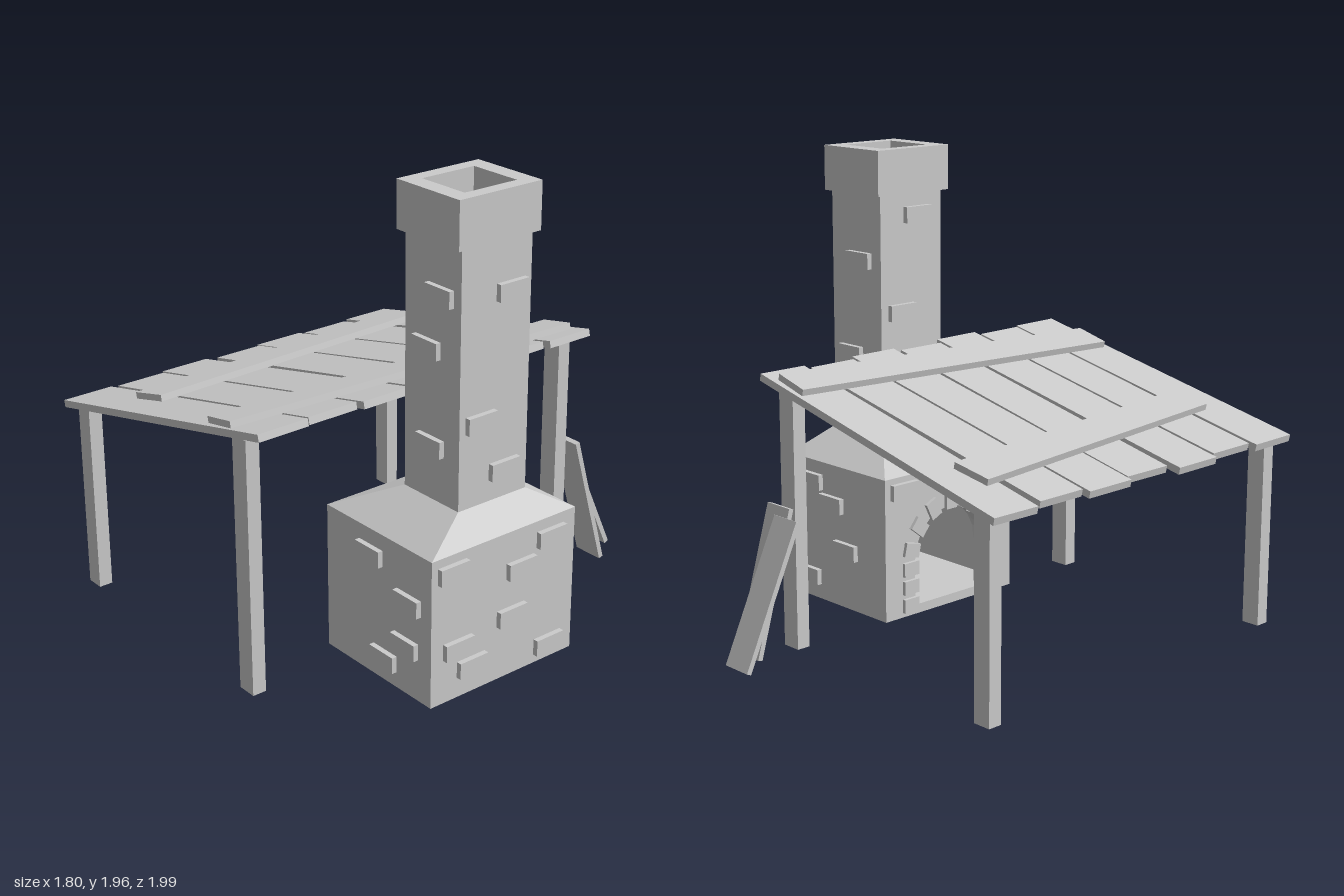
import * as THREE from 'three';

const mat = new THREE.MeshStandardMaterial({ color: 0xcccccc, flatShading: true });

function add(parent, name, geo, x = 0, y = 0, z = 0) {
  const m = new THREE.Mesh(geo, mat);
  m.name = name;
  m.position.set(x, y, z);
  parent.add(m);
  return m;
}

// Box given by its min and max corners
function span(parent, name, x0, x1, y0, y1, z0, z1) {
  return add(parent, name, new THREE.BoxGeometry(x1 - x0, y1 - y0, z1 - z0),
    (x0 + x1) / 2, (y0 + y1) / 2, (z0 + z1) / 2);
}

function rect(shape, w, h) {
  shape.moveTo(-w / 2, -h / 2);
  shape.lineTo(w / 2, -h / 2);
  shape.lineTo(w / 2, h / 2);
  shape.lineTo(-w / 2, h / 2);
  shape.closePath();
  return shape;
}

// Upright rectangular tube
function squareTube(w, d, iw, id, height) {
  const s = rect(new THREE.Shape(), w, d);
  s.holes.push(rect(new THREE.Path(), iw, id));
  return new THREE.ExtrudeGeometry(s, { depth: height, bevelEnabled: false }).rotateX(-Math.PI / 2);
}

function buildFurnace() {
  const g = new THREE.Group();
  g.name = 'furnace';
  const x0 = 0.25, x1 = 0.875, y0 = 0.01, y1 = 0.63, z0 = -0.22, z1 = 0.51, t = 0.06;
  const cx = 0.635, cz = 0.145;

  // Hollow firebox
  span(g, 'hearthFloor', x0 + t, x1, y0, y0 + 0.04, z0, z1);
  span(g, 'backWall', x1 - t, x1, y0, y1, z0, z1);
  span(g, 'sideWall', x0 + t, x1 - t, y0, y1, z0, z0 + t);
  span(g, 'sideWall', x0 + t, x1 - t, y0, y1, z1 - t, z1);

  // Wall with the arched mouth, facing the shelter
  const r = 0.2, spring = 0.25;
  const wall = new THREE.Shape();
  wall.moveTo(z0, y0);
  wall.lineTo(z1, y0);
  wall.lineTo(z1, y1);
  wall.lineTo(z0, y1);
  wall.closePath();
  const mouth = new THREE.Path();
  mouth.moveTo(cz - r, y0 + 0.04);
  mouth.lineTo(cz + r, y0 + 0.04);
  mouth.lineTo(cz + r, spring);
  mouth.absarc(cz, spring, r, 0, Math.PI, false);
  mouth.closePath();
  wall.holes.push(mouth);
  add(g, 'mouthWall', new THREE.ExtrudeGeometry(wall, { depth: t, bevelEnabled: false, curveSegments: 5 })
    .rotateY(-Math.PI / 2), x0 + t);

  // Bricks framing the mouth
  for (let i = 0; i < 7; i++) {
    const a = Math.PI * (i + 0.5) / 7;
    add(g, 'archBrick', new THREE.BoxGeometry(0.05, 0.06, 0.08),
      x0 + 0.01, spring + Math.sin(a) * (r + 0.03), cz + Math.cos(a) * (r + 0.03)).rotation.x = -a;
  }
  for (const side of [-1, 1])
    for (const y of [0.06, 0.14, 0.22])
      add(g, 'jambBrick', new THREE.BoxGeometry(0.05, 0.06, 0.08), x0 + 0.01, y, cz + side * (r + 0.03));

  // Sloping hood: a box whose top corners are drawn in to the chimney
  const hood = new THREE.BoxGeometry(x1 - x0, 0.11, z1 - z0);
  const p = hood.attributes.position;
  for (let i = 0; i < p.count; i++)
    if (p.getY(i) > 0) {
      p.setX(i, Math.sign(p.getX(i)) * 0.155 + cx - (x0 + x1) / 2);
      p.setZ(i, Math.sign(p.getZ(i)) * 0.17 + cz - 0.145 - 0.005);
    }
  hood.computeVertexNormals();
  add(g, 'hood', hood, (x0 + x1) / 2, 0.685, cz);

  // Chimney and its cap
  add(g, 'chimney', squareTube(0.31, 0.34, 0.23, 0.25, 1.05), cx, 0.73, 0.14);
  add(g, 'chimneyCap', squareTube(0.345, 0.395, 0.23, 0.25, 0.19), cx, 1.77, 0.1425);

  // Raised bricks: [position along the face, height]
  const faces = [
    ['z', z1, [[0.52, 0.53], [0.745, 0.41], [0.73, 0.22], [0.605, 0.11]]],
    ['z', z0, [[0.725, 0.54], [0.59, 0.46], [0.5, 0.27], [0.745, 0.11]]],
    ['x', x1, [[0.41, 0.56], [-0.09, 0.55], [0.065, 0.465], [0.11, 0.275], [0.38, 0.23], [0.31, 0.13], [-0.09, 0.08]]],
    ['x', x0, [[-0.12, 0.57], [0.41, 0.56]]],
    ['z', 0.31, [[0.68, 1.57], [0.61, 1.35], [0.635, 0.965]]],
    ['z', -0.03, [[0.61, 1.49], [0.67, 1.08], [0.64, 0.96]]],
    ['x', 0.79, [[0.07, 1.57], [0.21, 1.08], [0.09, 0.86]]],
    ['x', 0.48, [[0.17, 1.68], [0.08, 1.27], [0.1, 0.96]]],
  ];
  for (const [axis, at, list] of faces)
    for (const [u, y] of list) {
      if (axis === 'z') add(g, 'brick', new THREE.BoxGeometry(0.14, 0.068, 0.045), u, y, at);
      else add(g, 'brick', new THREE.BoxGeometry(0.045, 0.068, 0.14), at, y, u);
    }
  return g;
}

function buildShelter() {
  const g = new THREE.Group();
  g.name = 'shelter';

  // Four posts
  for (const [z0, z1] of [[0.905, 0.965], [-0.67, -0.61]]) {
    span(g, 'lowPost', -0.83, -0.75, 0, 0.82, z0, z1);
    span(g, 'highPost', 0.28, 0.365, 0, 1.07, z0, z1);
  }

  // Sloping roof, built flat in a tilted group
  const roof = new THREE.Group();
  roof.name = 'roof';
  const slope = 0.221, c = Math.cos(slope);
  roof.position.set(-0.22, 0.96, 0);
  roof.rotation.z = slope;
  g.add(roof);

  // [x start, x end, z at low end, z at high end, width]
  const planks = [
    [-0.89, 0.45, -0.598, -0.586, 0.22],
    [-0.865, 0.425, -0.34, -0.348, 0.225],
    [-0.89, 0.45, -0.1, -0.107, 0.23],
    [-0.865, 0.425, 0.135, 0.14, 0.225],
    [-0.9, 0.46, 0.395, 0.38, 0.225],
    [-0.87, 0.435, 0.635, 0.618, 0.225],
    [-0.89, 0.45, 0.882, 0.856, 0.228],
  ];
  for (const [xa, xb, za, zb, w] of planks) {
    const m = add(roof, 'roofPlank', new THREE.BoxGeometry((xb - xa) / c, 0.03, w),
      ((xa + xb) / 2 + 0.22) / c, 0, (za + zb) / 2);
    m.rotation.y = -Math.atan2(zb - za, xb - xa);
  }

  // Boards nailed across the top: [x, length, yaw]
  for (const [x, len, yaw] of [[-0.545, 1.4, 0.093], [0.24, 1.63, -0.066]])
    add(roof, 'crossBoard', new THREE.BoxGeometry(0.166, 0.028, len), (x + 0.22) / c, 0.028, 0.14).rotation.y = yaw;
  return g;
}

// Loose planks leaning on the rear post: [x, top y, top z, foot z]
function buildLooseBoards() {
  const g = new THREE.Group();
  g.name = 'looseBoards';
  for (const [x, yt, zt, zf] of [[0.345, 0.595, -0.692, -0.865], [0.257, 0.567, -0.728, -0.988]]) {
    const m = add(g, 'leaningBoard', new THREE.BoxGeometry(0.138, Math.hypot(yt, zt - zf), 0.022),
      x, yt / 2 + 0.005, (zt + zf) / 2);
    m.rotation.x = Math.atan2(zt - zf, yt);
  }
  return g;
}

export function createModel() {
  const model = new THREE.Group();
  model.name = 'smithy';
  model.add(buildFurnace(), buildShelter(), buildLooseBoards());
  return model;
}
